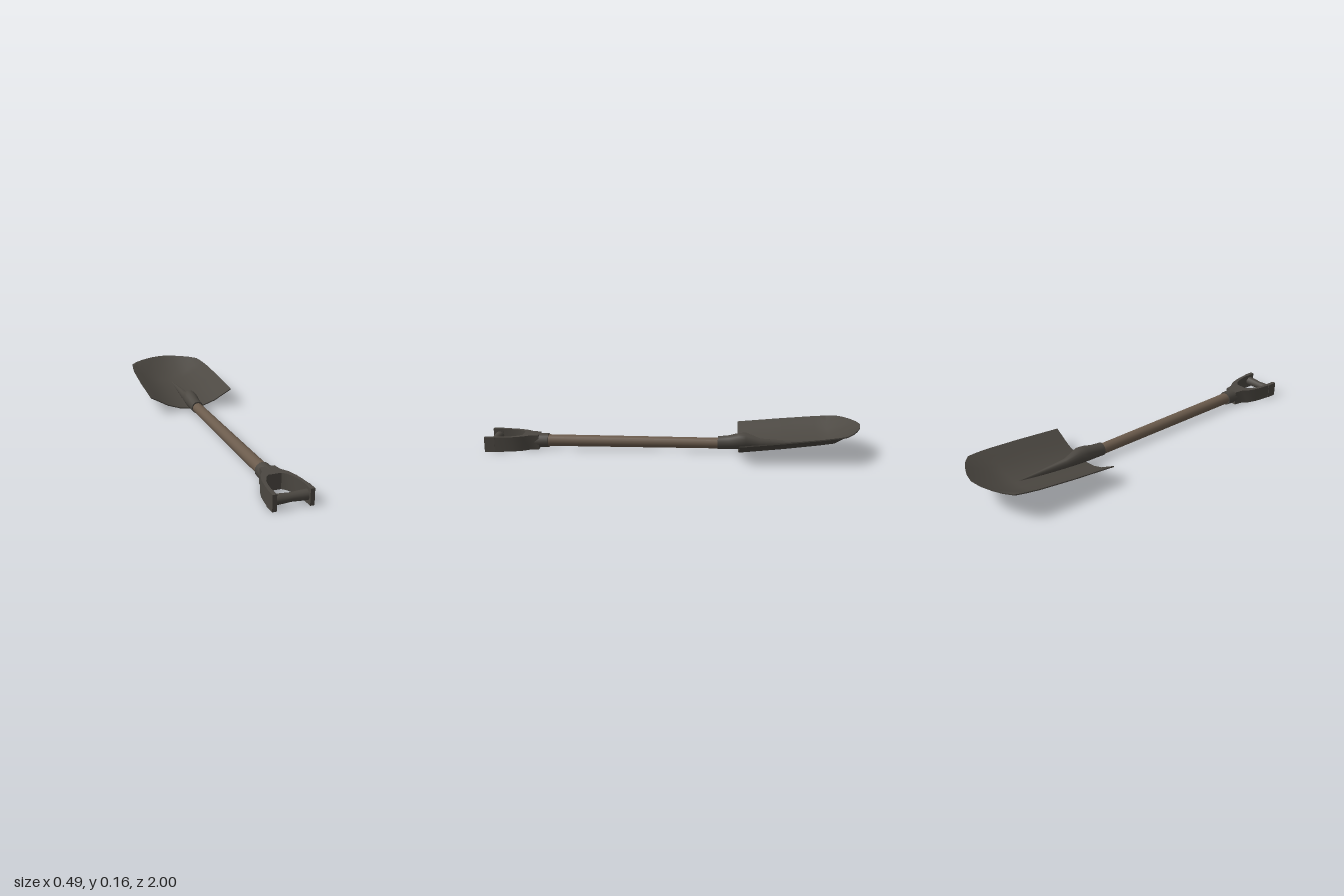
import * as THREE from 'three';
import { toCreasedNormals } from 'three/addons/utils/BufferGeometryUtils.js';

const metal = new THREE.MeshStandardMaterial({ color: 0x4b4741 });
metal.name = 'dark steel';
const wood = new THREE.MeshStandardMaterial({ color: 0x6b5b4c });
wood.name = 'worn wood';

// Skins a row of closed cross-sections that run towards -z, with both ends capped.
function loft(rings, crease) {
  const n = rings[0].length, last = (rings.length - 1) * n, index = [];
  const quad = (a, b, c, d) => index.push(a, b, c, a, c, d);
  for (let r = 0; r < rings.length - 1; r++) {
    for (let i = 0; i < n; i++) {
      const j = (i + 1) % n;
      quad(r * n + i, r * n + j, (r + 1) * n + j, (r + 1) * n + i);
    }
  }
  for (let i = 0; i < n / 2 - 1; i++) {
    quad(i, n - 1 - i, n - 2 - i, i + 1);
    quad(last + i, last + i + 1, last + n - 2 - i, last + n - 1 - i);
  }
  const g = new THREE.BufferGeometry();
  g.setAttribute('position', new THREE.Float32BufferAttribute(rings.flat(2), 3));
  g.setIndex(index);
  return toCreasedNormals(g, crease);
}

// Elliptical cross-section, starting at -x and passing over the top.
function oval(z, rx, bottom, top, sides = 16) {
  const cy = (bottom + top) / 2, ry = (top - bottom) / 2;
  return Array.from({ length: sides }, (_, i) => {
    const a = Math.PI - (i / sides) * Math.PI * 2;
    return [Math.cos(a) * rx, cy + Math.sin(a) * ry, z];
  });
}

// Dished blade: a sloping rim plane with a trough sunk below it.
function bladeGeometry() {
  const half = [[1, 0, -0.9], [0.8, 0.3, -0.937], [0.59, 0.63, -0.963], [0.3, 0.9, -0.988], [0, 1, -1]];
  const columns = [
    ...half.map(([u, d, z]) => [-u, d, z]),
    ...half.slice(0, 4).reverse(),
  ];
  const rimY = (z) => 0.1 + (-0.36 - z) * 0.096;
  // z, half width, trough depth
  const rows = [[-0.36, 0.245, 0.089], [-0.6, 0.243, 0.087], [-0.78, 0.235, 0.082], [-0.85, 0.226, 0.078]];
  const thick = 0.006;
  const close = (top) => [...top, ...top.map(([x, y, z]) => [x, y - thick, z]).reverse()];
  const rings = rows.map(([z, w, depth]) =>
    close(columns.map(([u, d]) => [u * w, rimY(z) - d * depth, z])));
  // Rounded cutting edge
  rings.push(close(columns.map(([u, , z]) => [u * 0.215, rimY(z), z])));
  return loft(rings, 0.5);
}

// Forked grip outline: the curved arms with the opening between them.
function forkGeometry() {
  const outer = [[0.037, 0.72], [0.045, 0.765], [0.068, 0.8], [0.084, 0.85], [0.092, 0.9], [0.097, 0.95], [0.098, 1]];
  const inner = [[0.079, 1], [0.08, 0.95], [0.075, 0.9], [0.066, 0.86], [0.05, 0.825], [0.032, 0.807]];
  const side = [...outer, ...inner];
  const points = [...side, ...side.map(([x, z]) => [-x, z]).reverse()];
  const shape = new THREE.Shape(points.map(([x, z]) => new THREE.Vector2(x, -z)));
  const g = new THREE.ExtrudeGeometry(shape, { depth: 0.08, bevelEnabled: false });
  g.rotateX(-Math.PI / 2);
  return toCreasedNormals(g, 0.6);
}

export function createModel() {
  const model = new THREE.Group();
  model.name = 'shovel';
  const add = (name, geometry, material) => {
    const mesh = new THREE.Mesh(geometry, material);
    mesh.name = name;
    model.add(mesh);
    return mesh;
  };

  // Blade and the socket that fades into its centre ridge
  add('blade', bladeGeometry(), metal);
  add('bladeSocket', loft([
    oval(-0.25, 0.034, 0.01, 0.08),
    oval(-0.31, 0.035, 0.012, 0.087),
    oval(-0.36, 0.04, 0.014, 0.1),
    oval(-0.4, 0.037, 0.016, 0.104),
    oval(-0.48, 0.022, 0.02, 0.072),
    oval(-0.75, 0.003, 0.044, 0.056),
  ], 0.7), metal);

  // Wooden shaft, slightly slimmer at the blade end
  const shaft = add('shaft', new THREE.CylinderGeometry(0.032, 0.029, 0.96, 16), wood);
  shaft.rotation.x = Math.PI / 2;
  shaft.position.set(0, 0.043, 0.22);

  // Grip: round collar, forked arms and cross bar
  add('gripCollar', loft([
    oval(0.806, 0.036, 0.004, 0.079),
    oval(0.76, 0.042, 0.001, 0.081),
    oval(0.67, 0.039, 0.004, 0.082),
  ], 0.7), metal);
  add('gripArms', forkGeometry(), metal);

  const profile = [[0.025, -0.085], [0.024, -0.05], [0.021, 0], [0.024, 0.05], [0.025, 0.085]];
  const bar = add('gripBar', new THREE.LatheGeometry(profile.map(([r, y]) => new THREE.Vector2(r, y)), 14), metal);
  bar.rotation.z = Math.PI / 2;
  bar.position.set(0, 0.04, 0.967);

  // Wider end pads where the bar meets the arms
  for (const s of [-1, 1]) {
    const pad = add(s > 0 ? 'leftEndPad' : 'rightEndPad', new THREE.BoxGeometry(0.021, 0.08, 0.056), metal);
    pad.position.set(s * 0.0885, 0.0402, 0.972);
  }
  return model;
}
